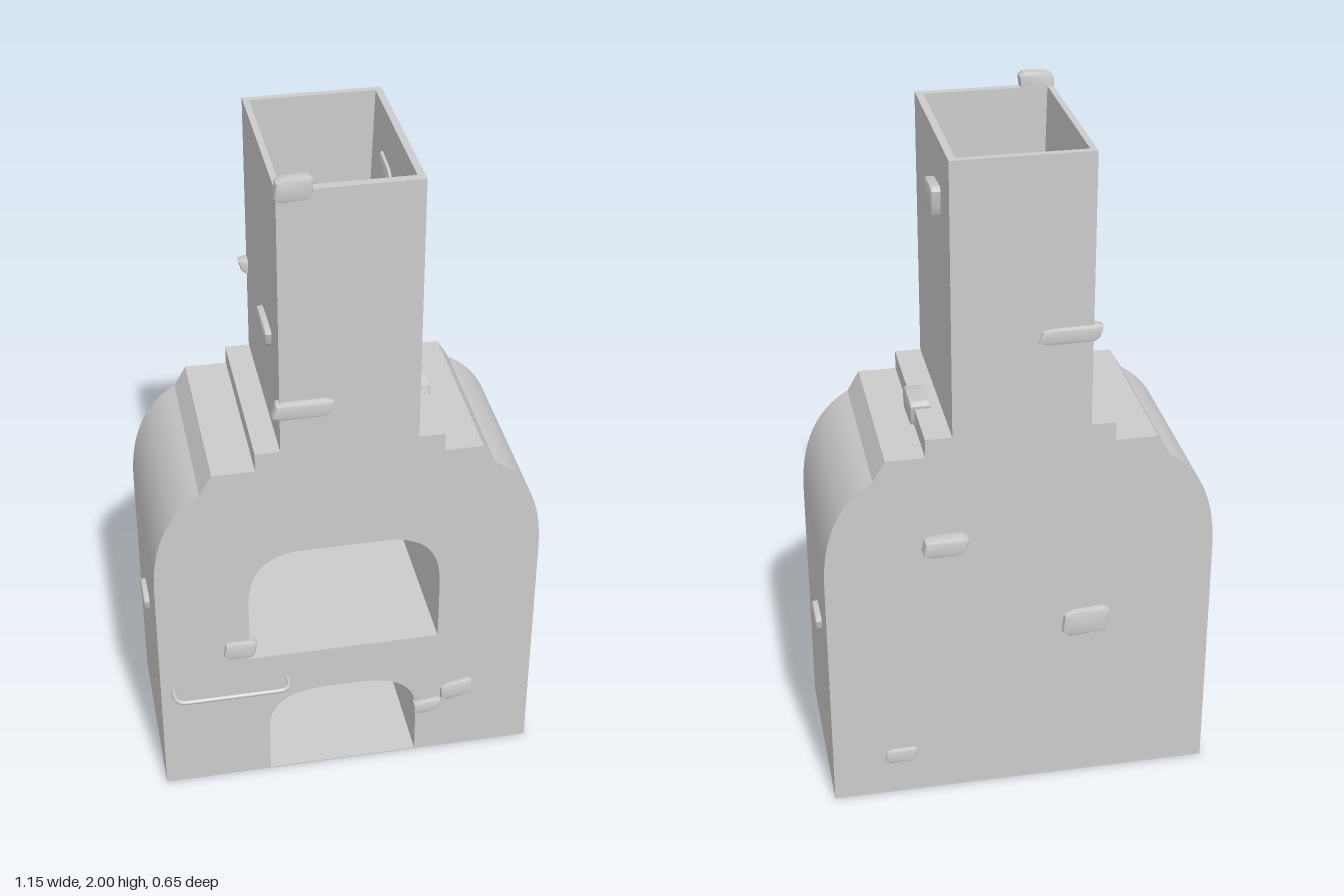
import * as THREE from 'three';
import { toCreasedNormals } from 'three/addons/utils/BufferGeometryUtils.js';

const material = new THREE.MeshStandardMaterial({ color: 0xcccccc });
const BACK = -0.29, FRONT = 0.265, INNER_BACK = -0.27, INNER_FRONT = 0.24;
const TOP = 1.96;

function mesh(name, geometry, parent) {
  const m = new THREE.Mesh(geometry, material);
  m.name = name;
  parent.add(m);
  return m;
}

// Oven contour, from the right end of the flat ceiling round to the left end
function traceOven(path) {
  path.lineTo(0.125, 0.828);
  path.bezierCurveTo(0.225, 0.815, 0.265, 0.76, 0.265, 0.64);
  path.lineTo(0.265, 0.45);
  path.lineTo(-0.295, 0.45);
  path.lineTo(-0.295, 0.64);
  path.bezierCurveTo(-0.295, 0.76, -0.255, 0.815, -0.155, 0.828);
}

// Stove silhouette: domed body, stepped shoulders and chimney
function silhouette(withFlue) {
  const s = new THREE.Shape();
  s.moveTo(-0.56, 0);
  s.lineTo(0.555, 0);
  s.lineTo(0.555, 0.74);
  s.bezierCurveTo(0.555, 0.91, 0.5, 1.01, 0.41, 1.06);
  for (const [x, y] of [[0.375, 1.12], [0.265, 1.12], [0.265, 1.175], [0.19, 1.175], [0.19, TOP]]) s.lineTo(x, y);
  if (withFlue) {
    // tapering flue opens into the oven ceiling
    s.lineTo(0.17, TOP);
    traceOven(s);
    s.lineTo(-0.178, TOP);
  }
  for (const [x, y] of [[-0.195, TOP], [-0.195, 1.175], [-0.265, 1.175], [-0.265, 1.12], [-0.385, 1.12], [-0.42, 1.06]]) s.lineTo(x, y);
  s.bezierCurveTo(-0.505, 1.01, -0.56, 0.91, -0.56, 0.74);
  s.closePath();
  return s;
}

function ovenHole() {
  const p = new THREE.Path();
  p.moveTo(-0.155, 0.828);
  traceOven(p);
  return p;
}

// Arched wood store with a thin floor
function archHole() {
  const p = new THREE.Path();
  p.moveTo(-0.242, 0.004);
  p.lineTo(-0.242, 0.17);
  p.bezierCurveTo(-0.242, 0.27, -0.17, 0.305, -0.07, 0.305);
  p.lineTo(0.03, 0.305);
  p.bezierCurveTo(0.13, 0.305, 0.205, 0.27, 0.205, 0.17);
  p.lineTo(0.205, 0.004);
  p.closePath();
  return p;
}

function layer(name, shape, z0, z1, parent) {
  let g = new THREE.ExtrudeGeometry(shape, { depth: z1 - z0, bevelEnabled: false, curveSegments: 16 });
  g.translate(0, 0, z0);
  return mesh(name, toCreasedNormals(g, 0.45), parent);
}

// Irregular bevelled stone: w and h across the wall, d through it
function stone(name, [x, y, z], [w, h, d], turn, tilt, parent) {
  const b = Math.min(0.007, d / 4), a = w / 2 - b, c = h / 2 - b;
  const s = new THREE.Shape([
    [-a, -c * 0.7], [-a * 0.75, -c], [a * 0.8, -c * 0.85], [a * 0.92, -c * 0.4],
    [a, c * 0.8], [a * 0.85, c], [-a * 0.55, c * 0.9], [-a * 0.9, c * 0.65],
  ].map(([px, py]) => new THREE.Vector2(px, py)));
  const g = new THREE.ExtrudeGeometry(s, {
    depth: d - 2 * b, bevelThickness: b, bevelSize: b, bevelSegments: 2,
  });
  g.translate(0, 0, b - d / 2);
  const m = mesh(name, toCreasedNormals(g, 0.6), parent);
  m.position.set(x, y, z);
  m.rotation.set(0, turn, tilt);
}

export function createModel() {
  const group = new THREE.Group();
  group.name = 'stoneOven';

  // Masonry in three layers: closed back, hollow core, pierced front
  const masonry = new THREE.Group();
  masonry.name = 'masonry';
  group.add(masonry);
  layer('backWall', silhouette(false), BACK, INNER_BACK, masonry);
  const core = silhouette(true);
  core.holes.push(archHole());
  layer('hollowCore', core, INNER_BACK, INNER_FRONT, masonry);
  const front = silhouette(false);
  front.holes.push(ovenHole(), archHole());
  layer('frontWall', front, INNER_FRONT, FRONT, masonry);

  // Towel rail on the front
  const rail = new THREE.CurvePath();
  const v = (x, z) => new THREE.Vector3(x, 0.36, z);
  const r = 0.035, x0 = -0.523, x1 = -0.186, zr = 0.318;
  rail.add(new THREE.LineCurve3(v(x0, 0.255), v(x0, zr - r)));
  rail.add(new THREE.QuadraticBezierCurve3(v(x0, zr - r), v(x0, zr), v(x0 + r, zr)));
  rail.add(new THREE.LineCurve3(v(x0 + r, zr), v(x1 - r, zr)));
  rail.add(new THREE.QuadraticBezierCurve3(v(x1 - r, zr), v(x1, zr), v(x1, zr - r)));
  rail.add(new THREE.LineCurve3(v(x1, zr - r), v(x1, 0.255)));
  mesh('rail', new THREE.TubeGeometry(rail, 60, 0.007, 8), group);

  // Stones standing proud of the walls
  const stones = new THREE.Group();
  stones.name = 'stones';
  group.add(stones);
  const R = Math.PI / 2, L = -R, B = Math.PI;
  const list = [
    // front
    ['chimneyTopStone', [-0.15, 1.966, 0.261], [0.1, 0.068, 0.038], 0, 0],
    ['chimneyFrontStone', [-0.133, 1.311, 0.263], [0.164, 0.052, 0.042], 0, -0.02],
    ['ovenSideStone', [-0.323, 0.494, 0.262], [0.095, 0.06, 0.034], 0, -0.06],
    ['archSideStoneLow', [0.239, 0.18, 0.263], [0.085, 0.045, 0.034], 0, 0.12],
    ['archSideStoneHigh', [0.328, 0.233, 0.263], [0.102, 0.06, 0.034], 0, 0.18],
    // right-hand face
    ['chimneySideStone', [0.186, 1.795, -0.09], [0.14, 0.085, 0.06], R, 0.03],
    ['shoulderStone', [0.248, 1.153, -0.037], [0.145, 0.078, 0.058], R, 0],
    ['bodySideStone', [0.556, 0.512, -0.08], [0.126, 0.046, 0.034], R, 0.03],
    // left-hand face
    ['chimneySideStone', [-0.19, 1.46, 0.072], [0.165, 0.055, 0.046], L, 0],
    ['bodySideStone', [-0.56, 0.512, -0.012], [0.125, 0.046, 0.034], L, 0.03],
    // back
    ['chimneyBackStone', [-0.133, 1.45, -0.278], [0.175, 0.05, 0.038], B, 0],
    ['backStoneHigh', [0.217, 0.848, -0.3], [0.126, 0.055, 0.06], B, 0],
    ['backStoneMiddle', [-0.19, 0.54, -0.282], [0.138, 0.085, 0.054], B, 0.02],
    ['backStoneLow', [0.355, 0.132, -0.28], [0.095, 0.05, 0.036], B, 0],
  ];
  for (const [name, pos, size, turn, tilt] of list) stone(name, pos, size, turn, tilt, stones);

  return group;
}
